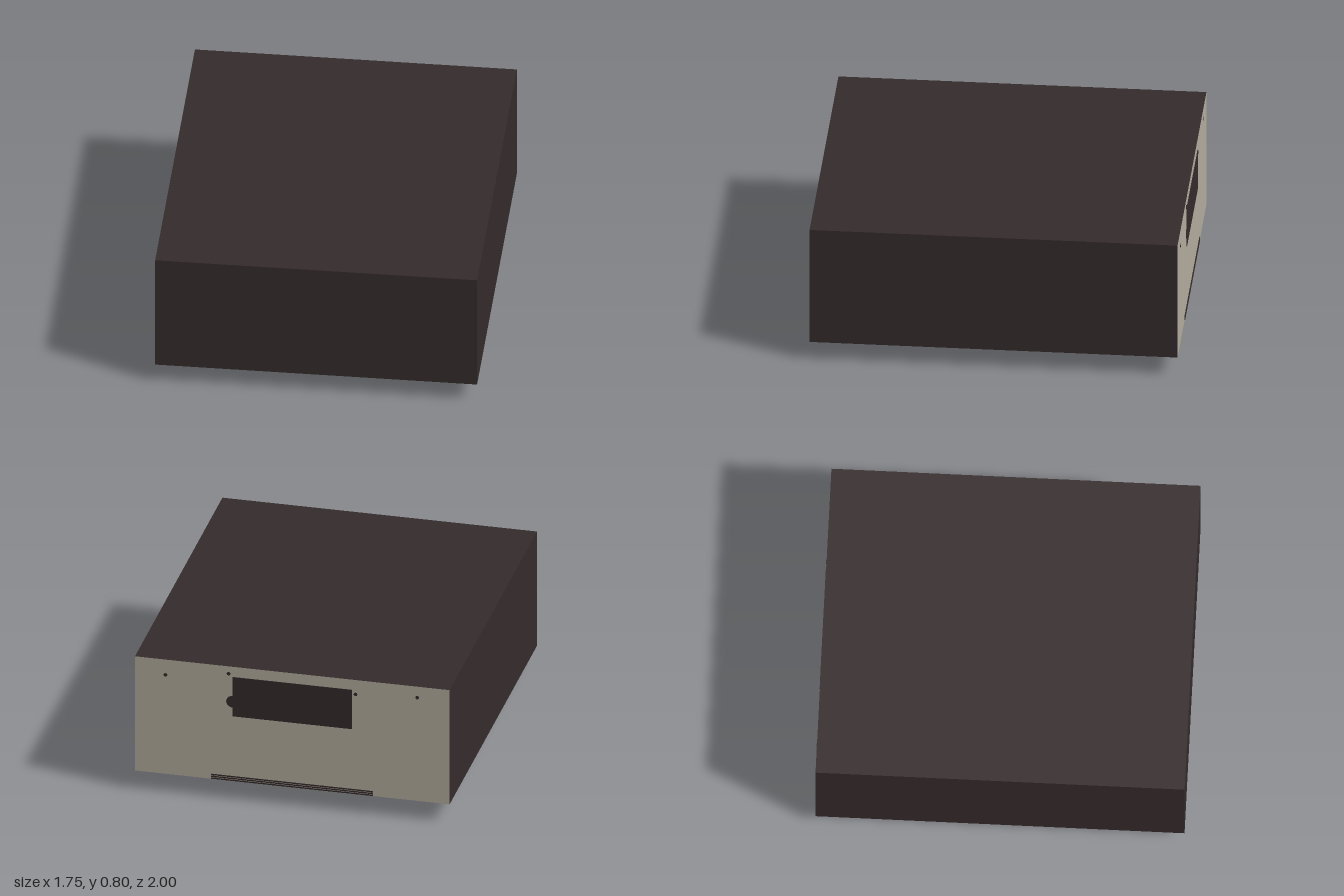
import * as THREE from 'three';

export function createModel() {
  const model = new THREE.Group();
  const brown = new THREE.MeshStandardMaterial({ name: 'dark brown casing', color: 0x352b2c });
  const beige = new THREE.MeshStandardMaterial({ name: 'beige panel', color: 0xb5ad9f });
  const ivory = new THREE.MeshStandardMaterial({ name: 'ivory pipe', color: 0xcfcabc, side: THREE.DoubleSide });

  const add = (name, geometry, material, x, y, z) => {
    const mesh = new THREE.Mesh(geometry, material);
    mesh.name = name;
    mesh.position.set(x, y, z);
    model.add(mesh);
    return mesh;
  };

  // Casing, with a beige rear face
  const front = 1, back = -0.997, bottom = 0.112, top = 0.8;
  add('casing', new THREE.BoxGeometry(1.75, top - bottom, front - back),
    [brown, brown, brown, brown, brown, beige], 0, (top + bottom) / 2, (front + back) / 2);

  // Thin dark details on the rear face
  const plate = (name, w, h, x, y) =>
    add(name, new THREE.BoxGeometry(w, h, 0.004), brown, x, y, back - 0.001);
  const disc = (name, r, x, y) =>
    add(name, new THREE.CylinderGeometry(r, r, 0.004, 20).rotateX(Math.PI / 2), brown, x, y, back - 0.001);

  plate('rearWindow', 0.666, 0.236, 0, 0.621);
  disc('windowNotch', 0.034, 0.333, 0.59);
  [[0.705, 0.709], [0.354, 0.757], [-0.352, 0.714], [-0.695, 0.735]]
    .forEach(([x, y], i) => disc('screwHole' + (i + 1), 0.01, x, y));

  // Narrow slots along the lower rear edge
  for (let i = 0; i < 3; i++) plate('lowerSlot' + (i + 1), 0.9, 0.007, 0, 0.117 + i * 0.011);

  // Open round pipe slanting down and backwards out of the underside
  const radius = 0.171, length = 0.3, s = Math.SQRT1_2;
  const pipe = add('outletPipe', new THREE.CylinderGeometry(radius, radius, length, 48, 1, true), ivory,
    0.004, radius * s + length / 2 * s, -0.36 - radius * s + length / 2 * s);
  pipe.rotation.x = Math.PI / 4;

  return model;
}
